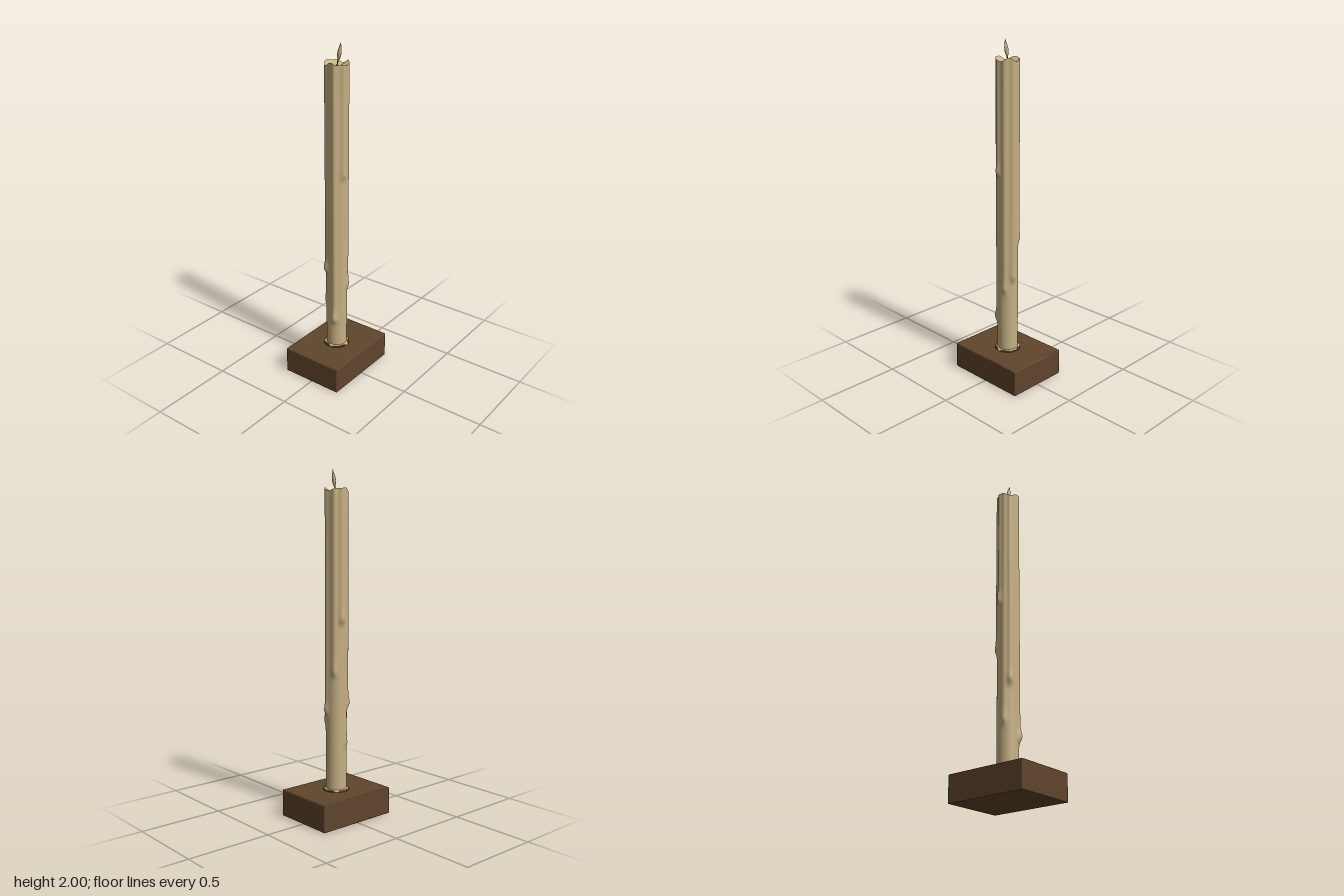
import * as THREE from 'three';
import { RoundedBoxGeometry } from 'three/addons/geometries/RoundedBoxGeometry.js';

const BASE_TOP = 0.157, RADIUS = 0.061;

// Wax runs: direction (x, z), height of the hanging drop, ridge and drop thickness
const drips = [
  [0.035, 0.080, 0.34, 0.009, 0.013],
  [-0.043, 0.055, 0.66, 0.008, 0.010],
  [0.070, 0.020, 1.25, 0.009, 0.006],
  [-0.080, -0.015, 1.15, 0.009, 0.010],
  [0.060, -0.032, 0.55, 0.007, 0.006],
  [0.020, -0.080, 0.62, 0.009, 0.008],
  [-0.065, 0.022, 0.43, 0.006, 0.006],
  [-0.045, -0.055, 0.85, 0.007, 0.006],
].map(([x, z, end, ridge, drop]) => ({ angle: Math.atan2(x, z), end, ridge, drop }));

const gauss = (d, s) => Math.exp(-(d * d) / (2 * s * s));
const angleGap = (a, b) => Math.atan2(Math.sin(a - b), Math.cos(a - b));

// Candle radius at an angle and height, swollen by the wax runs
function waxRadius(a, y) {
  let r = RADIUS;
  for (const d of drips) {
    const gap = angleGap(a, d.angle);
    const stem = THREE.MathUtils.smoothstep(y, d.end - 0.015, d.end + 0.02);
    r += d.ridge * stem * gauss(gap, 0.17);
    r += d.drop * gauss(gap, 0.2) * gauss(y - d.end, y > d.end ? 0.035 : 0.016);
  }
  return r;
}

// Wavy upper edge
const rimHeight = a => 1.888 + 0.008 * Math.sin(3 * a + 0.6) + 0.005 * Math.cos(5 * a);

// Closed rings joined from first to last; point(a, t) gives [x, y, z]
function loft(cols, rows, point) {
  const pos = [], index = [];
  for (let j = 0; j <= rows; j++) {
    for (let i = 0; i < cols; i++) pos.push(...point((i / cols) * Math.PI * 2, j / rows));
  }
  for (let j = 0; j < rows; j++) {
    for (let i = 0; i < cols; i++) {
      const a = j * cols + i, b = j * cols + ((i + 1) % cols);
      index.push(a, b, b + cols, a, b + cols, a + cols);
    }
  }
  const g = new THREE.BufferGeometry();
  g.setAttribute('position', new THREE.Float32BufferAttribute(pos, 3));
  g.setIndex(index);
  g.computeVertexNormals();
  return g;
}

export function createModel() {
  const group = new THREE.Group();
  const wax = new THREE.MeshStandardMaterial({ color: 0xc6b083 });
  wax.name = 'wax';
  const wood = new THREE.MeshStandardMaterial({ color: 0x60452c });
  wood.name = 'wood';
  const char = new THREE.MeshStandardMaterial({ color: 0x3a2c1e });
  char.name = 'charred wick';

  const add = (name, geometry, material) => {
    const mesh = new THREE.Mesh(geometry, material);
    mesh.name = name;
    group.add(mesh);
    return mesh;
  };

  // Wooden block and the shallow collar around the candle
  add('base', new RoundedBoxGeometry(0.382, BASE_TOP, 0.504, 3, 0.005), wood)
    .position.y = BASE_TOP / 2;
  add('collar', new THREE.CylinderGeometry(0.075, 0.077, 0.006, 48), wood)
    .position.y = BASE_TOP + 0.003;

  // Puddle of wax at the foot
  add('waxPuddle', loft(72, 5, (a, t) => {
    const edge = 0.071 + 0.004 * Math.sin(5 * a) + 0.003 * Math.sin(8 * a + 1);
    const r = THREE.MathUtils.lerp(edge, 0.055, t * t);
    return [r * Math.sin(a), BASE_TOP + 0.002 + 0.010 * Math.sqrt(t), r * Math.cos(a)];
  }), wax);

  // Candle wall with its drips
  add('candle', loft(112, 170, (a, t) => {
    const y = THREE.MathUtils.lerp(BASE_TOP, rimHeight(a), t);
    const r = waxRadius(a, y);
    return [r * Math.sin(a), y, r * Math.cos(a)];
  }), wax);

  // Fluted hollow at the top, falling from the rim to the wick
  add('meltHollow', loft(112, 14, (a, t) => {
    const rim = rimHeight(a);
    const r = waxRadius(a, rim) * (1 - t);
    const y = THREE.MathUtils.lerp(rim, 1.862, Math.pow(t, 0.7));
    return [r * Math.sin(a), y, r * Math.cos(a)];
  }), wax);

  // Wick
  const wickPath = new THREE.CatmullRomCurve3([
    new THREE.Vector3(0, 1.855, 0),
    new THREE.Vector3(0.003, 1.885, -0.002),
    new THREE.Vector3(0.010, 1.915, -0.004),
  ]);
  add('wick', new THREE.TubeGeometry(wickPath, 8, 0.003, 8), char);

  // Leaning flame, pointed at both ends
  add('flame', loft(24, 20, (a, t) => {
    const r = Math.pow(Math.sin(Math.PI * Math.pow(t, 0.8)), 1.15);
    const lean = 0.006 + 0.018 * t;
    return [lean + 0.0125 * r * Math.sin(a), 1.893 + 0.107 * t, -0.005 + 0.009 * r * Math.cos(a)];
  }), wax);

  return group;
}
